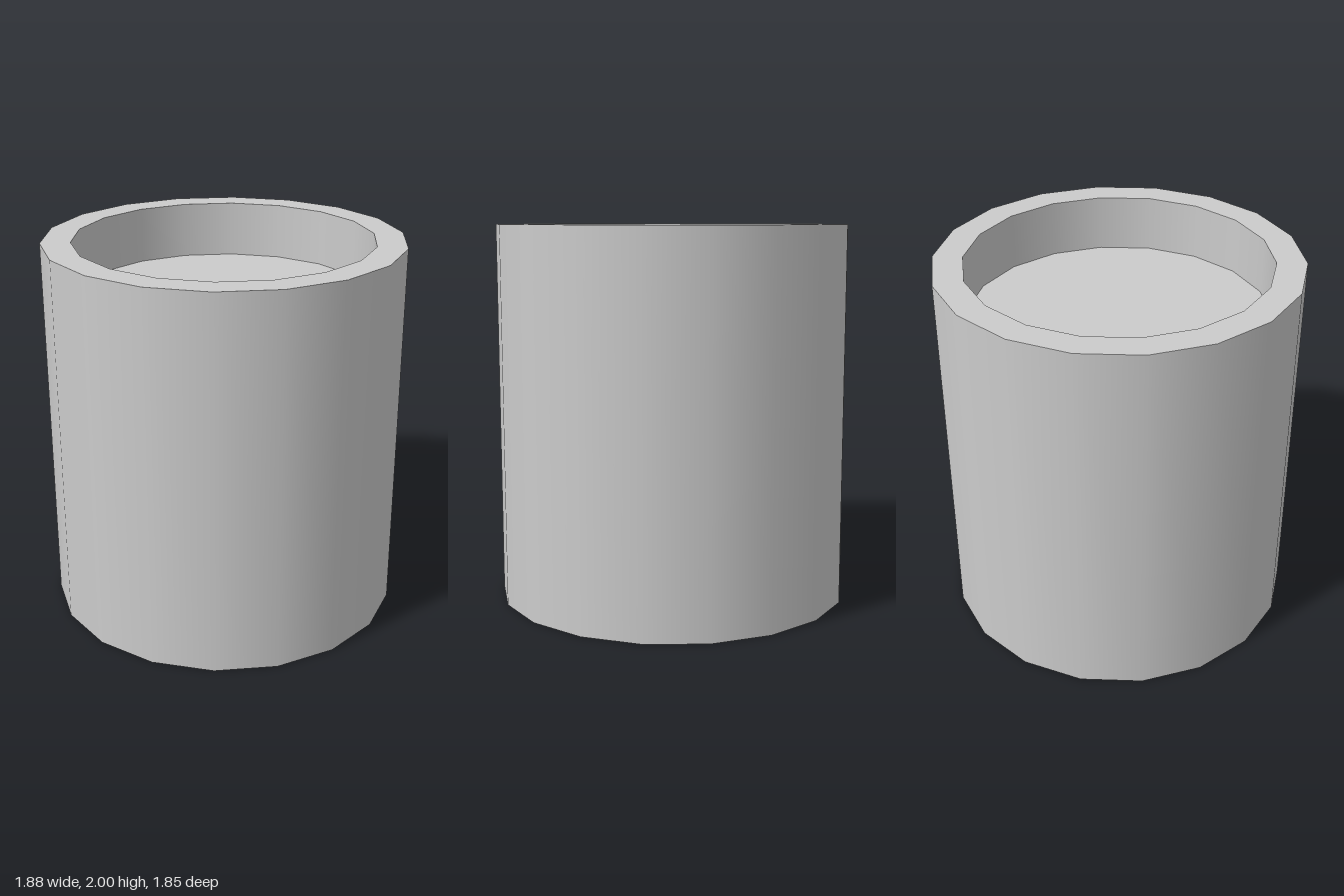
import * as THREE from 'three';

const SIDES = 18;
const OUTER = 0.94, INNER = 0.785, HEIGHT = 2, FLOOR = 1.7;

export function createModel() {
  const group = new THREE.Group();
  group.name = 'recessedCylinder';
  const material = new THREE.MeshStandardMaterial({ color: 0xcccccc });

  // Each surface is its own band, so it shades smoothly but meets the next in a sharp edge
  function band(name, from, to) {
    const profile = [new THREE.Vector2(...from), new THREE.Vector2(...to)];
    const mesh = new THREE.Mesh(new THREE.LatheGeometry(profile, SIDES, Math.PI / 2), material);
    mesh.name = name;
    group.add(mesh);
  }

  // Profile from the centre of the base, up the outside and down into the recess
  band('base', [0, 0], [OUTER, 0]);
  band('outerWall', [OUTER, 0], [OUTER, HEIGHT]);
  band('rim', [OUTER, HEIGHT], [INNER, HEIGHT]);
  band('innerWall', [INNER, HEIGHT], [INNER, FLOOR]);
  band('recessFloor', [INNER, FLOOR], [0, FLOOR]);

  return group;
}
